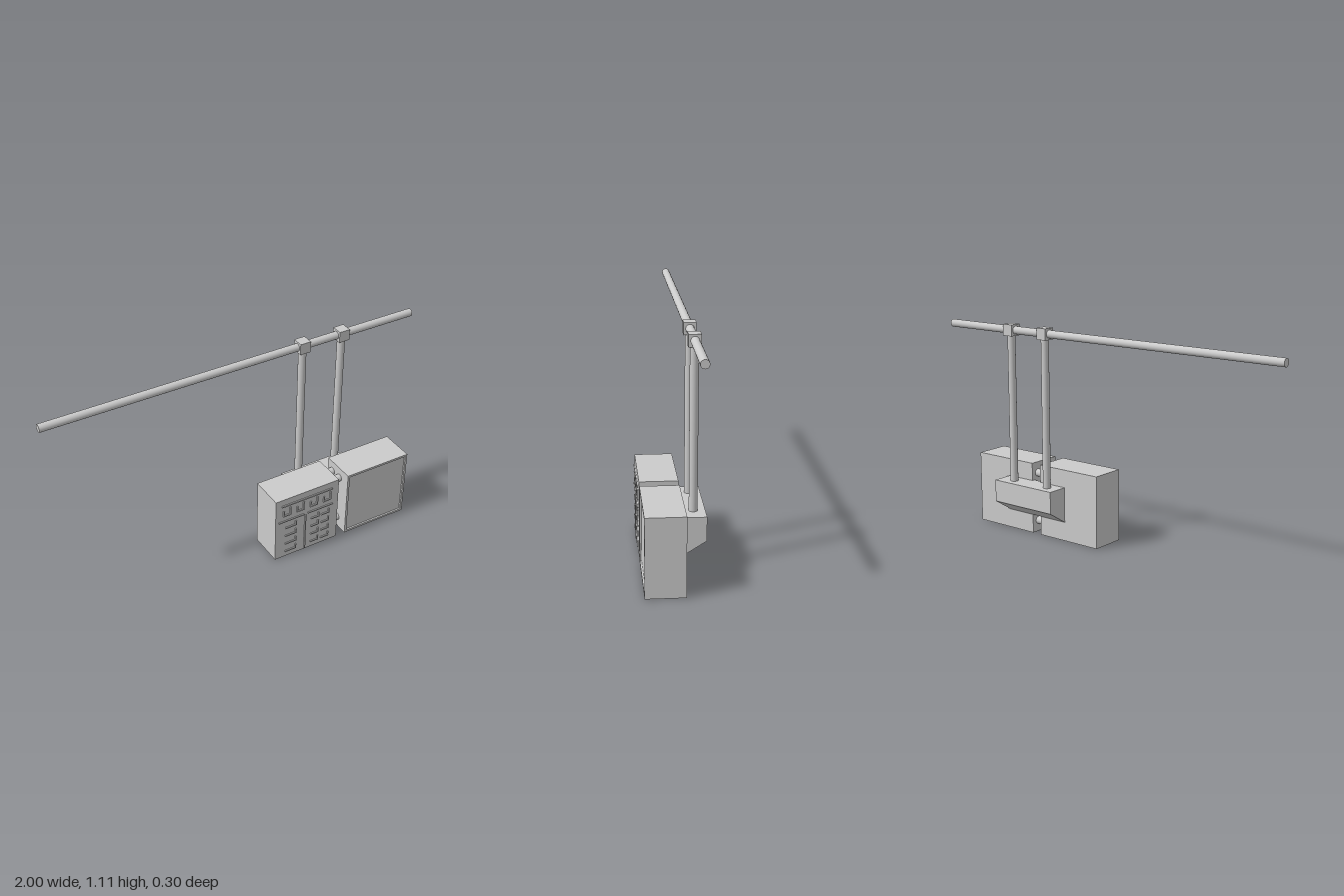
import * as THREE from 'three';

export function createModel() {
  const model = new THREE.Group();
  const material = new THREE.MeshStandardMaterial({ color: 0xcccccc });

  const add = (name, geometry, x, y, z, parent = model) => {
    const mesh = new THREE.Mesh(geometry, material);
    mesh.name = name;
    mesh.position.set(x, y, z);
    parent.add(mesh);
    return mesh;
  };
  const box = (name, w, h, d, x, y, z, parent) =>
    add(name, new THREE.BoxGeometry(w, h, d), x, y, z, parent);
  const rod = (name, r, length, x, y, z, alongX) => {
    const geometry = new THREE.CylinderGeometry(r, r, length, 32);
    if (alongX) geometry.rotateZ(Math.PI / 2);
    return add(name, geometry, x, y, z);
  };

  // Overhead rail with two clamps and hanging posts
  const railY = 1.076, railZ = -0.095;
  rod('overheadRail', 0.02, 2, 0, railY, railZ, true);
  for (const x of [0.36, 0.585]) {
    box('railClamp', 0.058, 0.058, 0.058, x, railY, railZ);
    rod('hangingPost', 0.02, 0.78, x, 0.665, railZ, false);
  }

  // Rear bracket: a bar with a sloping underside
  const profile = new THREE.Shape([[0.15, 0.17], [0.15, 0.285], [0.025, 0.285], [0.025, 0.1], [0.04, 0.1]]
    .map(([back, y]) => new THREE.Vector2(back, y)));
  const bracket = new THREE.ExtrudeGeometry(profile, { depth: 0.38, bevelEnabled: false });
  bracket.rotateY(Math.PI / 2);
  add('rearBracket', bracket, 0.29, 0, 0);

  // Cross tubes joining the two cabinets
  for (const y of [0.06, 0.32]) {
    for (const z of [0.003, 0.068]) rod('crossTube', 0.02, 0.08, 0.482, y, z, true);
  }

  // Cabinet with a flat face and raised relief
  const relief = new THREE.Group();
  relief.name = 'reliefCabinet';
  model.add(relief);
  const faceZ = 0.142, height = 0.378;
  box('reliefCabinetBody', 0.375, height, faceZ + 0.04, 0.267, height / 2, (faceZ - 0.04) / 2, relief);
  const strip = (x, y, w, h) => box('reliefStrip', w, h, 0.007, x, y, faceZ + 0.003, relief);
  strip(0.265, 0.338, 0.3, 0.008);
  strip(0.172, 0.238, 0.15, 0.006);
  strip(0.345, 0.238, 0.15, 0.006);
  strip(0.256, 0.12, 0.007, 0.22);
  // Upper row of stepped blocks
  for (let i = 0; i < 4; i++) {
    const x = 0.145 + i * 0.08;
    strip(x, 0.275, 0.045, 0.008);
    strip(x + 0.019, 0.298, 0.008, 0.045);
    strip(x - 0.019, 0.29, 0.007, 0.03);
  }
  // Two columns of short stepped bars
  for (let i = 0; i < 4; i++) {
    const y = 0.035 + i * 0.052;
    strip(0.17, y, 0.065, 0.007);
    strip(0.2, y + 0.012, 0.007, 0.024);
    for (const x of [0.315, 0.378]) {
      strip(x, y, 0.048, 0.007);
      strip(x + 0.02, y + 0.012, 0.007, 0.024);
    }
  }

  // Cabinet with a thin rim around a recessed panel
  const cx = 0.696, w = 0.374, rim = 0.012;
  const cabinet = new THREE.Group();
  cabinet.name = 'panelCabinet';
  model.add(cabinet);
  box('panelCabinetBody', w, height, 0.174, cx, height / 2, 0.047, cabinet);
  for (const side of [-1, 1]) {
    box('panelRimSide', rim, height, 0.009, cx + side * (w - rim) / 2, height / 2, 0.1385, cabinet);
    box('panelRimEdge', w - 2 * rim, rim, 0.009, cx, height / 2 + side * (height - rim) / 2, 0.1385, cabinet);
  }

  return model;
}
